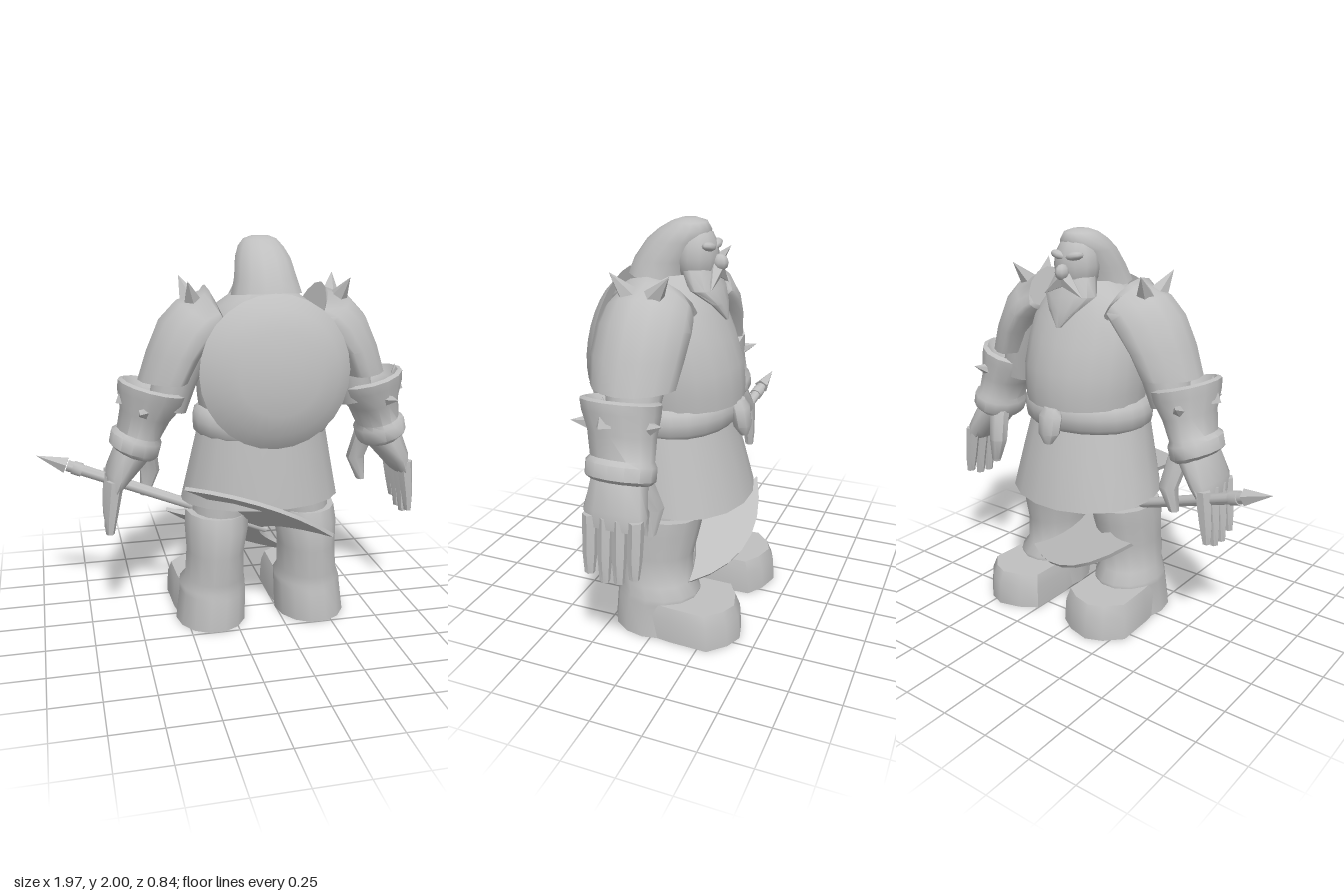
import * as THREE from 'three';
import { toCreasedNormals } from 'three/addons/utils/BufferGeometryUtils.js';

const steel = new THREE.MeshStandardMaterial({ color: 0xbfbfbf, side: THREE.DoubleSide });
steel.name = 'plain grey';

function part(parent, name, geo, crease = 0.9) {
  const mesh = new THREE.Mesh(toCreasedNormals(geo, crease), steel);
  mesh.name = name;
  parent.add(mesh);
  return mesh;
}

// Closed skin over elliptical rings listed bottom to top:
// [x, y, z, radiusX, radiusZ, sideways tilt, rise toward +z]; s = -1 mirrors in x,
// pinch above 1 draws the ring toward a diamond, inner scales its inward half.
function loft(rings, s = 1, n = 14, pinch = 1, inner = 1) {
  const pos = [], idx = [];
  for (const [x, y, z, rx, rz, tilt = 0, rise = 0] of rings) {
    for (let j = 0; j < n; j++) {
      const a = (j / n) * Math.PI * 2, d = Math.sin(a), u = Math.cos(a);
      const c = Math.sign(u) * Math.abs(u) ** pinch * rx * (u * s < 0 ? inner : 1);
      pos.push(x * s + c * Math.cos(tilt), y + c * Math.sin(tilt * s) + d * rise, z + d * rz);
    }
  }
  const m = rings.length;
  for (let i = 0; i < m - 1; i++) {
    for (let j = 0; j < n; j++) {
      const k = (j + 1) % n, a = i * n + j, b = i * n + k;
      idx.push(a, a + n, b + n, a, b + n, b);
    }
  }
  // end caps
  const lo = pos.length / 3, hi = lo + 1, top = (m - 1) * n;
  for (const r of [rings[0], rings[m - 1]]) pos.push(r[0] * s, r[1], r[2]);
  for (let j = 0; j < n; j++) {
    const k = (j + 1) % n;
    idx.push(lo, j, k, hi, top + k, top + j);
  }
  const g = new THREE.BufferGeometry();
  g.setAttribute('position', new THREE.Float32BufferAttribute(pos, 3));
  g.setIndex(idx);
  return g;
}

// Five-sided stud growing from base to tip
function spike(parent, name, base, tip, r) {
  const a = new THREE.Vector3(...base), d = new THREE.Vector3(...tip).sub(a);
  const mesh = part(parent, name, new THREE.ConeGeometry(r, d.length(), 5), 0.3);
  mesh.position.copy(a).addScaledVector(d, 0.5);
  mesh.quaternion.setFromUnitVectors(new THREE.Vector3(0, 1, 0), d.normalize());
}

function ball(parent, name, p, scale, w = 12, h = 8) {
  const mesh = part(parent, name, new THREE.SphereGeometry(1, w, h), 1);
  mesh.position.set(...p);
  mesh.scale.set(...scale);
  return mesh;
}

function addLeg(body, s) {
  const leg = new THREE.Group();
  leg.name = s > 0 ? 'leftLeg' : 'rightLeg';
  body.add(leg);
  part(leg, 'thigh', loft([[0.23, 0.5, 0.03, 0.14, 0.16], [0.2, 0.7, 0.02, 0.16, 0.19], [0.17, 0.95, 0.02, 0.15, 0.18]], s));
  part(leg, 'bootShaft', loft([
    [0.275, 0, 0.04, 0.187, 0.215], [0.262, 0.17, 0.035, 0.178, 0.21], [0.262, 0.2, 0.025, 0.178, 0.21], [0.255, 0.25, 0.05, 0.158, 0.187],
    [0.25, 0.4, 0.05, 0.152, 0.195], [0.24, 0.53, 0.035, 0.168, 0.21], [0.235, 0.61, 0.015, 0.165, 0.205],
  ], s, 14), 1.2);
  // forefoot: rounded sides, top edge drawn in
  const outline = [[0.295, -0.415], [0.38, -0.38], [0.462, -0.3], [0.455, -0.1], [0.43, 0.1], [0.12, 0.1], [0.09, -0.1], [0.095, -0.33], [0.18, -0.385]];
  const foot = new THREE.ExtrudeGeometry(
    new THREE.Shape(outline.map(([x, z]) => new THREE.Vector2(x * s, -z))), { depth: 0.18, steps: 2, bevelEnabled: false });
  foot.rotateX(-Math.PI / 2);
  const p = foot.attributes.position;
  for (let i = 0; i < p.count; i++) {
    const y = p.getY(i);
    if (y < 0.05) continue;
    const k = y > 0.15 ? 0.88 : 0.97;
    p.setXYZ(i, s * 0.27 + (p.getX(i) - s * 0.27) * k, y > 0.15 ? y : 0.12, p.getZ(i) * (y > 0.15 ? 0.92 : 0.98));
  }
  part(leg, 'foot', foot);
}

function addArm(body, s) {
  const arm = new THREE.Group();
  arm.name = s > 0 ? 'leftArm' : 'rightArm';
  body.add(arm);
  part(arm, 'upperArm', loft([[0.49, 1.18, 0.05, 0.1, 0.12, 0.3], [0.45, 1.32, 0.05, 0.11, 0.14, 0.3], [0.36, 1.52, 0.05, 0.12, 0.15, 0.3]], s));
  part(arm, 'pauldron', loft([
    [0.455, 1.325, 0.055, 0.18, 0.205], [0.4, 1.45, 0.055, 0.19, 0.225, 0.08], [0.33, 1.55, 0.05, 0.205, 0.225, 0.33],
    [0.28, 1.6, 0.05, 0.19, 0.215, 0.6], [0.23, 1.63, 0.05, 0.15, 0.195, 0.95], [0.235, 1.62, 0.05, 0.17, 0.215, 1.2],
  ], s, 16, 1.3, 0.4), 1.1);
  spike(arm, 'shoulderSpike', [s * 0.36, 1.69, 0.1], [s * 0.4, 1.81, 0.185], 0.055);
  spike(arm, 'shoulderSpike', [s * 0.36, 1.69, 0.0], [s * 0.4, 1.81, -0.1], 0.055);
  // gauntlet cuff with a rolled wrist band
  part(arm, 'bracer', loft([
    [0.655, 0.945, 0.03, 0.105, 0.14, 0.3], [0.66, 0.97, 0.03, 0.13, 0.165, 0.3], [0.645, 1.03, 0.03, 0.132, 0.165, 0.3],
    [0.635, 1.05, 0.03, 0.112, 0.15, 0.3], [0.6, 1.15, 0.045, 0.13, 0.16, 0.28], [0.57, 1.24, 0.06, 0.172, 0.18, 0.27],
    [0.56, 1.285, 0.065, 0.178, 0.185, 0.27], [0.555, 1.295, 0.065, 0.16, 0.16, 0.27], [0.56, 1.25, 0.06, 0.12, 0.12, 0.27],
  ], s));
  spike(arm, 'bracerSpike', [s * 0.62, 1.19, 0.19], [s * 0.65, 1.2, 0.27], 0.035);
  spike(arm, 'bracerSpike', [s * 0.62, 1.2, -0.09], [s * 0.65, 1.23, -0.17], 0.035);
  spike(arm, 'bracerSpike', [s * 0.7, 1.22, 0.07], [s * 0.7, 1.35, 0.08], 0.05);
  part(arm, 'palm', loft([[0.765, 0.77, 0.02, 0.04, 0.14, 0.2], [0.74, 0.84, 0.02, 0.07, 0.155, 0.3], [0.665, 0.96, 0.03, 0.1, 0.135, 0.3]], s, 12), 1.2);
  [[0.125, 0.55], [0.052, 0.52], [-0.018, 0.525], [-0.093, 0.56]].forEach(([z, tip]) => {
    part(arm, 'finger', loft([[0.8, tip, z, 0.02, 0.024], [0.79, 0.65, z, 0.032, 0.034], [0.765, 0.83, z, 0.044, 0.037]], s, 6));
  });
  part(arm, 'thumb', loft([[0.6, 0.675, -0.08, 0.025, 0.028], [0.57, 0.8, -0.09, 0.052, 0.045], [0.6, 0.96, -0.04, 0.06, 0.05]], s, 7));
}

function addHead(body) {
  const head = new THREE.Group();
  head.name = 'head';
  body.add(head);
  part(head, 'hair', loft([
    [0, 1.73, 0.11, 0.178, 0.15, 0, 0.02], [0, 1.81, 0.085, 0.156, 0.15], [0, 1.9, 0.025, 0.138, 0.145],
    [0, 1.95, -0.015, 0.114, 0.125], [0, 1.985, -0.035, 0.085, 0.085], [0, 2.0, -0.035, 0.045, 0.04],
  ]), 1.1);
  ball(head, 'face', [0, 1.83, -0.07], [0.12, 0.15, 0.105]);
  ball(head, 'nose', [0, 1.805, -0.185], [0.032, 0.04, 0.042], 8, 6);
  // wide pointed beard spreading over the collar
  part(head, 'beard', loft([
    [0, 1.54, -0.222, 0.012, 0.008], [0, 1.62, -0.185, 0.085, 0.035], [0, 1.69, -0.12, 0.15, 0.08], [0, 1.78, -0.08, 0.115, 0.08],
  ], 1, 12));
  for (const s of [1, -1]) {
    spike(head, 'moustache', [0, 1.77, -0.165], [s * 0.12, 1.69, -0.185], 0.042);
    ball(head, 'eyebrow', [s * 0.045, 1.88, -0.145], [0.055, 0.022, 0.032], 8, 6).rotation.z = s * 0.2;
  }
}

// Double-bladed axe; local x runs along the shaft, local y across the blades
function addAxe(root) {
  const axe = new THREE.Group();
  axe.name = 'axe';
  const d = new THREE.Vector3(0.93, -0.34, 0.14).normalize();
  const n = d.clone().cross(new THREE.Vector3(0.08, 0.5, 0.83)).normalize();
  axe.quaternion.setFromRotationMatrix(new THREE.Matrix4().makeBasis(d, n.clone().cross(d), n));
  axe.position.set(0.08, 0.52, 0.04);
  root.add(axe);
  const shaft = new THREE.CylinderGeometry(0.03, 0.025, 1.1, 10);
  part(axe, 'axeShaft', shaft.rotateZ(Math.PI / 2).translate(-0.435, 0, 0));
  const collar = new THREE.CylinderGeometry(0.036, 0.036, 0.05, 10);
  part(axe, 'axeCollar', collar.rotateZ(Math.PI / 2).translate(-0.93, 0, 0));
  spike(axe, 'axePoint', [-0.99, 0, 0], [-1.15, 0, 0], 0.043);
  for (const s of [1, -1]) {
    const blade = new THREE.Shape();
    blade.moveTo(-0.08, 0);
    blade.quadraticCurveTo(-0.1, s * 0.22, -0.4, s * 0.27);
    blade.quadraticCurveTo(0, s * 0.56, 0.4, s * 0.27);
    blade.quadraticCurveTo(0.1, s * 0.22, 0.08, 0);
    const geo = new THREE.ExtrudeGeometry(blade, { depth: 0.02, bevelEnabled: false, curveSegments: 7 });
    part(axe, 'axeBlade', geo.translate(0, 0, -0.01));
  }
}

export function createModel() {
  const root = new THREE.Group();
  root.name = 'armouredWarrior';
  const body = new THREE.Group();
  body.name = 'body';
  body.position.x = 0.157;
  root.add(body);

  // trunk clothing and armour
  part(body, 'skirt', loft([[0, 0.66, -0.01, 0.42, 0.345, 0, 0.03], [0, 0.85, 0.01, 0.378, 0.31, 0, 0.01], [0, 1.04, 0.03, 0.338, 0.27]], 1, 18));
  part(body, 'belt', loft([[0, 1.02, 0.015, 0.33, 0.27], [0, 1.045, 0.015, 0.352, 0.292], [0, 1.1, 0.012, 0.356, 0.298], [0, 1.145, 0.01, 0.345, 0.288], [0, 1.17, 0.01, 0.315, 0.265]], 1, 22), 1.2);
  part(body, 'buckle', loft([[0, 0.97, -0.32, 0.025, 0.02], [0, 1.02, -0.31, 0.06, 0.045], [0, 1.11, -0.295, 0.068, 0.05], [0, 1.15, -0.28, 0.045, 0.04]], 1, 8));
  part(body, 'breastplate', loft([
    [0, 1.16, -0.005, 0.32, 0.295, 0, 0.02], [0, 1.22, -0.005, 0.328, 0.297, 0, 0.01], [0, 1.32, -0.005, 0.335, 0.285], [0, 1.45, 0.015, 0.33, 0.262],
    [0, 1.58, 0.035, 0.31, 0.225], [0, 1.68, 0.055, 0.24, 0.19], [0, 1.75, 0.06, 0.14, 0.14],
  ], 1, 20));

  // domed shield slung on the back
  const profile = [[0, 0], [0.372, 0], [0.3, 0.058], [0.2, 0.09], [0.1, 0.106], [0, 0.11]];
  const shield = part(body, 'shield', new THREE.LatheGeometry(profile.map(([r, h]) => new THREE.Vector2(r, h)), 28));
  shield.rotation.x = Math.PI / 2 - 0.09;
  shield.position.set(0, 1.383, 0.31);

  for (const s of [1, -1]) {
    addLeg(body, s);
    addArm(body, s);
  }
  addHead(body);
  addAxe(root);
  return root;
}
